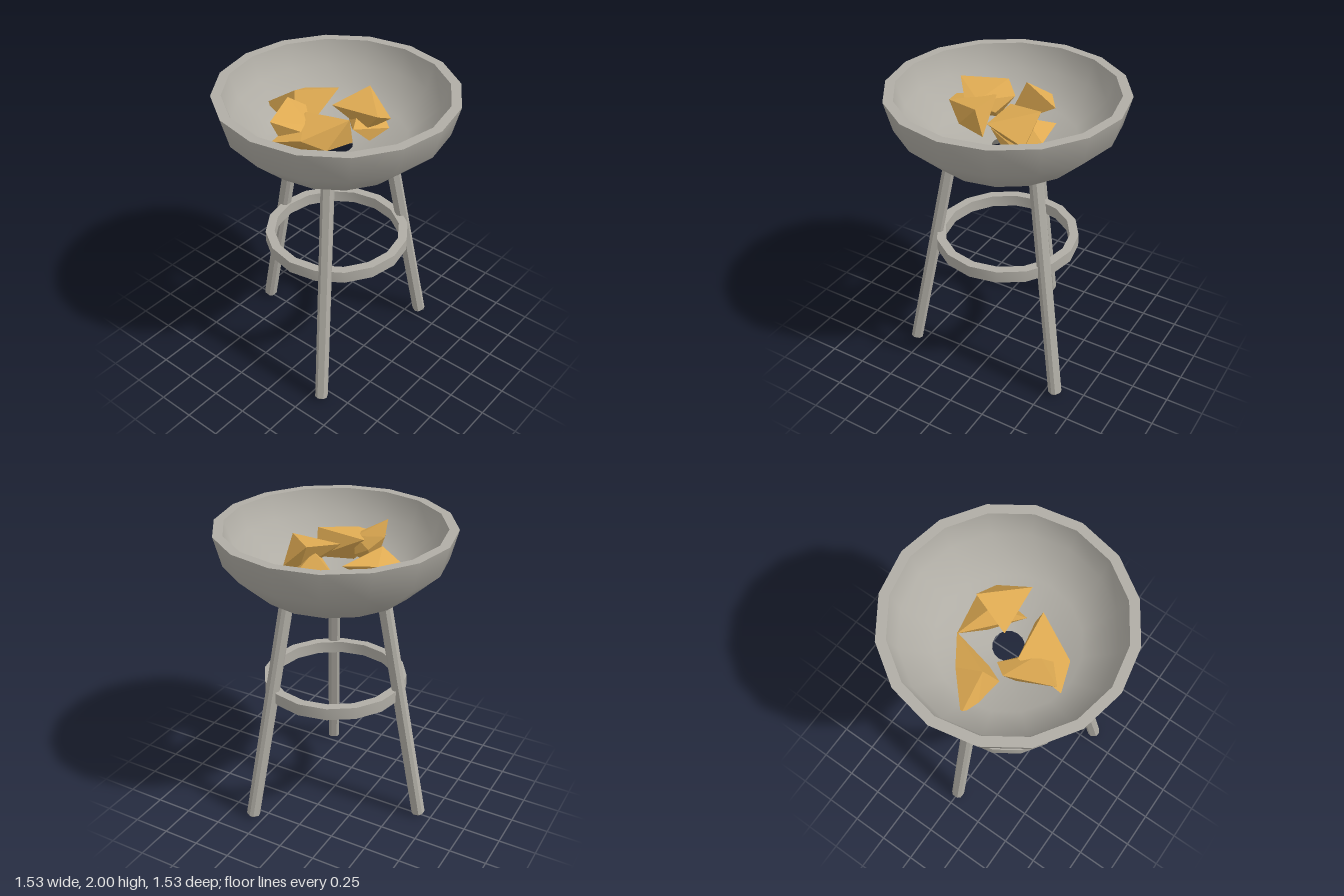
import * as THREE from 'three';
import { toCreasedNormals } from 'three/addons/utils/BufferGeometryUtils.js';
import { ConvexGeometry } from 'three/addons/geometries/ConvexGeometry.js';

const SIDES = 16;

// Closed [radius, height] profile turned around y, smooth except at sharp edges
function turned(profile, crease) {
  const points = [...profile, profile[0]].map(([r, y]) => new THREE.Vector2(r, y));
  return toCreasedNormals(new THREE.LatheGeometry(points, SIDES), crease);
}

// Square bar with chamfered edges and ends, standing on y = 0
function chamferedBar(width, length, chamfer) {
  const h = width / 2 - chamfer;
  const k = h - chamfer;
  const shape = new THREE.Shape(
    [[h, -k], [h, k], [k, h], [-k, h], [-h, k], [-h, -k], [-k, -h], [k, -h]]
      .map(([x, y]) => new THREE.Vector2(x, y)));
  const bar = new THREE.ExtrudeGeometry(shape, {
    depth: length - 2 * chamfer, bevelEnabled: true, bevelSegments: 1,
    bevelSize: chamfer, bevelThickness: chamfer,
  });
  bar.translate(0, 0, chamfer);
  bar.rotateX(-Math.PI / 2);
  return bar;
}

export function createModel() {
  const group = new THREE.Group();
  const stone = new THREE.MeshStandardMaterial({ color: 0xb0ada5 });
  stone.name = 'warm grey';
  const amber = new THREE.MeshStandardMaterial({ color: 0xdeaa52 });
  amber.name = 'amber';

  const add = (name, geometry, material, parent = group) => {
    const mesh = new THREE.Mesh(geometry, material);
    mesh.name = name;
    parent.add(mesh);
    return mesh;
  };

  // Thick bowl with a flared drain hole in the bottom
  add('bowl', turned([
    [0.1, 1.61], [0.2, 1.51], [0.5, 1.605], [0.713, 1.805], [0.763, 2],
    [0.7, 2], [0.65, 1.84], [0.45, 1.68],
  ], 0.9), stone);

  // Brace ring between the legs
  add('braceRing', turned([
    [0.42, 0.875], [0.48, 0.875], [0.48, 0.957], [0.42, 0.957],
  ], 0.7), stone);

  // Three splayed legs, the first at the back
  const legGeometry = chamferedBar(0.08, 1.6, 0.012);
  for (let i = 0; i < 3; i++) {
    const pivot = new THREE.Group();
    pivot.name = ['backLeg', 'rightLeg', 'leftLeg'][i];
    pivot.rotation.y = i * Math.PI * 2 / 3;
    const leg = add('legBar', legGeometry, stone, pivot);
    leg.position.set(0, 0.008, -0.66);
    leg.rotation.x = Math.atan2(0.31, 1.56);
    group.add(pivot);
  }

  // Angular chunks lying in the bowl, each the hull of a few corners
  const chunks = {
    backChunk: [
      [-0.05, 1.74, -0.55], [-0.09, 1.73, -0.43], [-0.11, 1.72, -0.25], [-0.04, 1.905, -0.31],
      [0.12, 1.84, -0.36], [0.24, 1.85, -0.18], [0, 1.7, -0.2],
    ],
    rightRearChunk: [
      [-0.44, 1.92, -0.15], [-0.15, 1.92, -0.27], [-0.06, 1.85, -0.2], [-0.13, 1.77, -0.07],
      [-0.29, 1.83, 0.03], [-0.23, 1.85, -0.02], [-0.36, 1.7, -0.1], [-0.18, 1.68, -0.18],
    ],
    rightFrontChunk: [
      [-0.46, 1.8, -0.13], [-0.4, 1.845, 0.05], [-0.27, 1.75, 0.14], [-0.115, 1.91, 0.19],
      [-0.07, 1.73, 0.18], [-0.15, 1.87, -0.12], [-0.25, 1.68, 0],
    ],
    leftRearChunk: [
      [0.26, 1.76, -0.16], [-0.03, 1.79, 0.15], [0.31, 1.76, 0.11], [0.25, 1.7, 0.22],
      [0.16, 1.87, 0.06], [0.15, 1.66, 0], [0.1, 1.66, 0.18],
    ],
    leftFrontChunk: [
      [0, 1.88, -0.04], [0.265, 1.935, 0.05], [0.03, 1.9, 0.29], [0.25, 1.77, 0.23],
      [0.22, 1.76, 0.13], [0.1, 1.72, 0.14],
    ],
  };
  for (const [name, corners] of Object.entries(chunks)) {
    add(name, new ConvexGeometry(corners.map((c) => new THREE.Vector3(...c))), amber);
  }

  return group;
}
